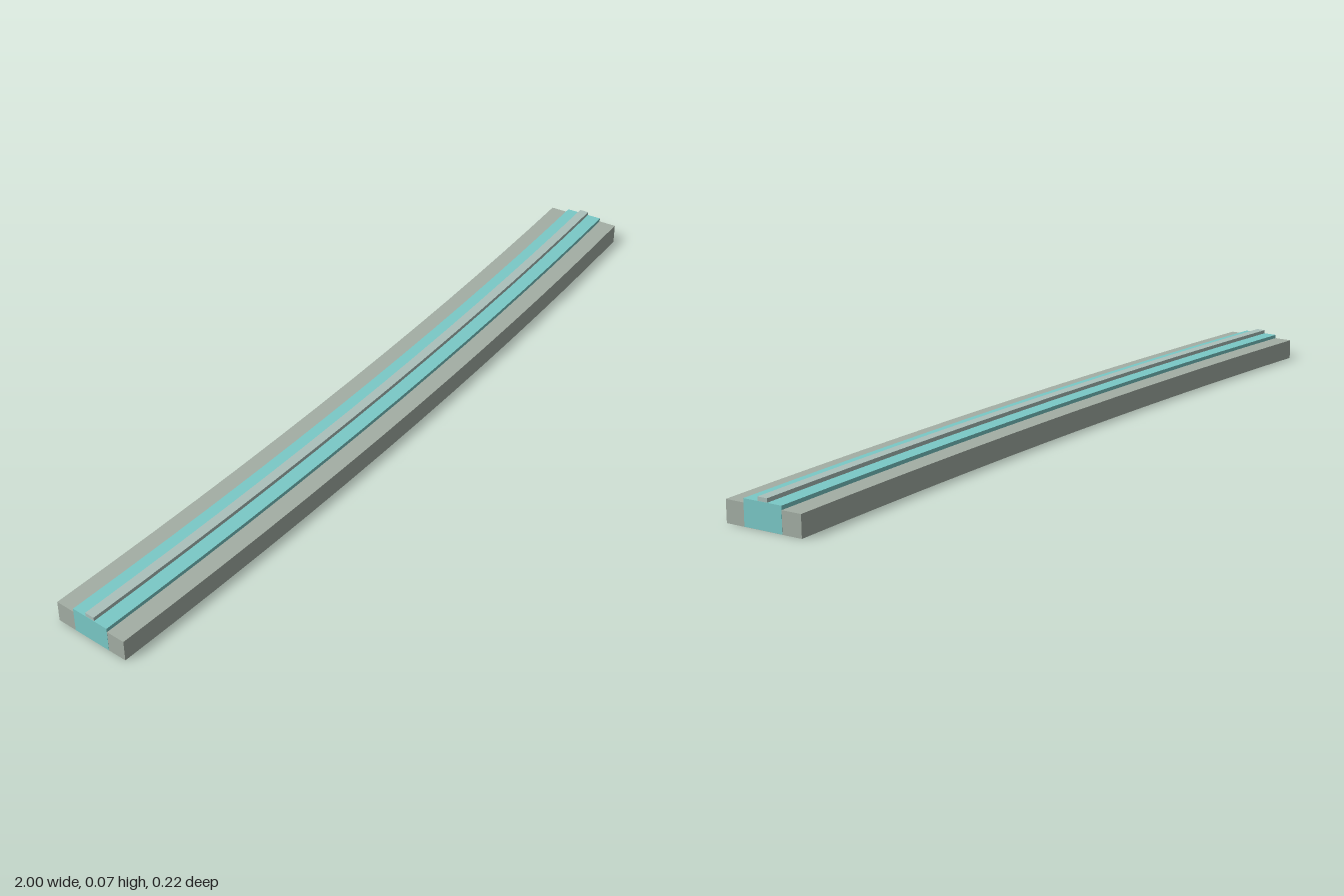
import * as THREE from 'three';

const SEGMENTS = 14;
const OUTER_RADIUS = 16.7;             // radius of the base's front edge
const CENTRE_Z = 0.11 - OUTER_RADIUS;  // arc centre lies far behind the strip
const HALF_ANGLE = Math.asin(1 / OUTER_RADIUS);

// Curved slab between two z positions (measured at x = 0) and two heights
function arcSlab(name, material, zBack, zFront, y0, y1, overhang = 0) {
  const points = [];
  const half = HALF_ANGLE + overhang / OUTER_RADIUS;
  const addEdge = (z, direction) => {
    const r = z - CENTRE_Z;
    for (let i = 0; i <= SEGMENTS; i++) {
      const a = direction * half * (2 * i / SEGMENTS - 1);
      points.push(new THREE.Vector2(r * Math.sin(a), -(CENTRE_Z + r * Math.cos(a))));
    }
  };
  addEdge(zFront, 1);
  addEdge(zBack, -1);
  const geometry = new THREE.ExtrudeGeometry(new THREE.Shape(points), {
    depth: y1 - y0, bevelEnabled: false,
  });
  geometry.rotateX(-Math.PI / 2);
  geometry.translate(0, y0, 0);
  const mesh = new THREE.Mesh(geometry, material);
  mesh.name = name;
  return mesh;
}

export function createModel() {
  const stone = new THREE.MeshStandardMaterial({ color: 0xa3aea4 });
  stone.name = 'grey stone';
  const teal = new THREE.MeshStandardMaterial({ color: 0x7ac9c7 });
  teal.name = 'teal';
  const pale = new THREE.MeshStandardMaterial({ color: 0xabc0bb });
  pale.name = 'pale grey';

  const model = new THREE.Group();
  model.name = 'curvedStrip';
  model.add(
    // Broad base
    arcSlab('base', stone, -0.08, 0.11, 0, 0.05),
    // Teal band running through the base, visible at the ends
    arcSlab('middleBand', teal, -0.032, 0.064, 0.0005, 0.059, 0.0005),
    // Narrow raised rib along the centre
    arcSlab('topRib', pale, 0.004, 0.028, 0.05, 0.068),
  );
  return model;
}
